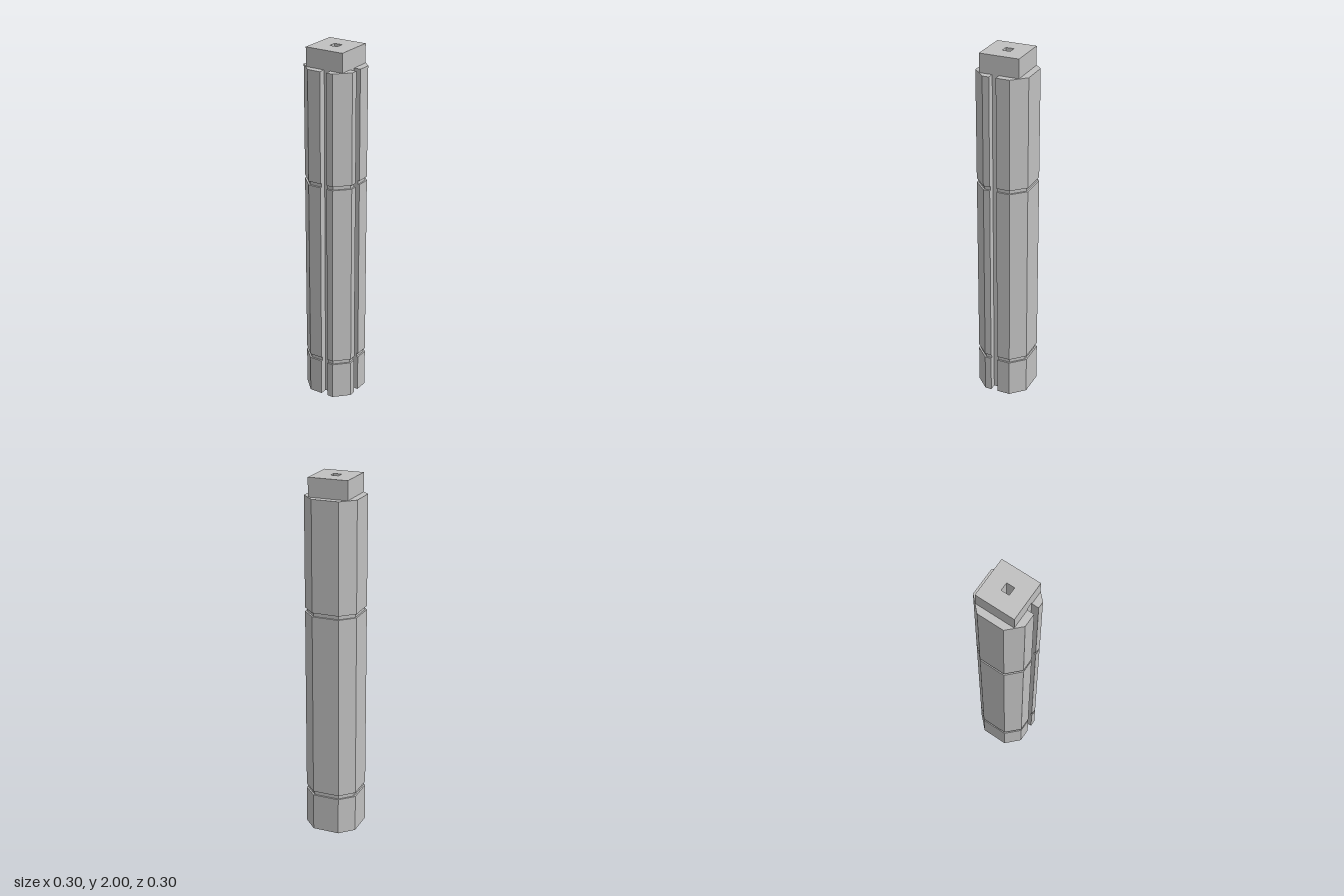
import * as THREE from 'three';

const HALF = 0.148;    // half width of the octagonal post
const CHAMFER = 0.075; // half width of each main face
const CORE = 0.11;     // half width of the square cap
const HOLE = 0.0225;   // half width of the central bore
const FLOOR = 0.108;   // depth the slots reach
const SLOT = [0, 0.038];

// Outline on x/z with slots in the +z and +x faces and a square bore.
// inset shrinks the octagon; chamfer = half draws a square.
function section(half, chamfer, slots) {
  const [a, b] = SLOT;
  const h = half, c = chamfer;
  const front = slots ? [[a, h], [a, FLOOR], [b, FLOOR], [b, h]] : [];
  const side = slots ? [[h, b], [FLOOR, b], [FLOOR, a], [h, a]] : [];
  const corners = (sx, sz, swap) => {
    if (c === h) return [[sx * h, sz * h]];
    const pair = [[sx * c, sz * h], [sx * h, sz * c]];
    return swap ? pair.reverse() : pair;
  };
  const outline = [
    ...corners(-1, 1, true), ...front,
    ...corners(1, 1, false), ...side,
    ...corners(1, -1, true),
    ...corners(-1, -1, false),
  ];
  const toPoint = ([x, z]) => new THREE.Vector2(x, -z);
  const shape = new THREE.Shape(outline.map(toPoint));
  const bore = [[-HOLE, -HOLE], [-HOLE, HOLE], [HOLE, HOLE], [HOLE, -HOLE]];
  shape.holes.push(new THREE.Path(bore.map(toPoint)));
  return shape;
}

export function createModel() {
  const group = new THREE.Group();
  group.name = 'post';
  const grey = new THREE.MeshStandardMaterial({ color: 0xc0c0c0 });
  grey.name = 'grey';

  const add = (name, y0, y1, half, chamfer, slots = true) => {
    const geometry = new THREE.ExtrudeGeometry(section(half, chamfer, slots), {
      depth: y1 - y0, bevelEnabled: false,
    });
    geometry.rotateX(-Math.PI / 2);
    geometry.translate(0, y0, 0);
    const mesh = new THREE.Mesh(geometry, grey);
    mesh.name = name;
    group.add(mesh);
  };

  // Octagonal shaft sections
  add('base', 0, 0.212, HALF, CHAMFER);
  add('middleShaft', 0.235, 1.267, HALF, CHAMFER);
  add('upperShaft', 1.288, 1.897, HALF, CHAMFER);

  // Recessed rings between the sections
  const inset = 0.009;
  add('lowerRing', 0.212, 0.235, HALF - inset, CHAMFER - inset * 0.41);
  add('upperRing', 1.267, 1.288, HALF - inset, CHAMFER - inset * 0.41);

  // Square tenon; the slots run a little way into its foot
  add('tenonFoot', 1.897, 1.91, CORE, CORE);
  add('tenon', 1.91, 2, CORE, CORE, false);
  return group;
}
